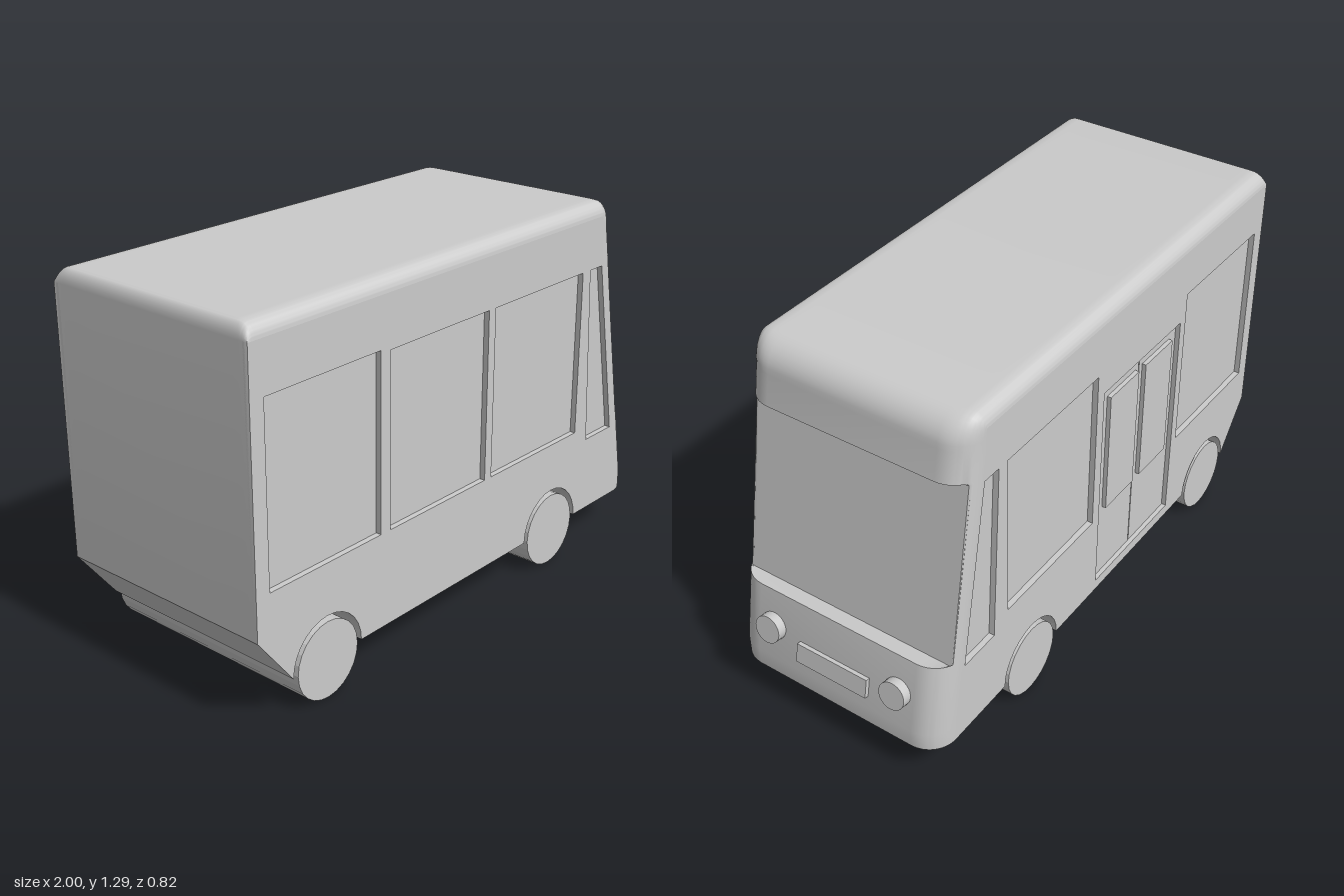
import * as THREE from 'three';
import { toCreasedNormals } from 'three/addons/utils/BufferGeometryUtils.js';

const HALF = 0.41;   // half width of the body
const RECESS = 0.02; // depth of windows and door
const FRONT_R = 0.1, ROOF_R = 0.05;
const WHEELS_X = [-0.705, 0.46];

const mat = new THREE.MeshStandardMaterial({ color: 0xcccccc });

// x of the sloping front face at height y
const frontX = (y) => 0.98 - 0.185 * Math.max(0, y - 0.2);

// how far a rounded edge of radius r pulls in at width z
function inset(z, r) {
  const d = Math.max(0, Math.abs(z) - (HALF - r));
  return r - Math.sqrt(Math.max(0, r * r - d * d));
}

// side profile of the body at width z, counter-clockwise
function profile(z) {
  const f = inset(z, FRONT_R), r = inset(z, ROOF_R);
  const pts = [[-1, 0.32]];
  for (const cx of WHEELS_X) {
    for (let i = 0; i <= 14; i++) {
      const a = Math.PI * (1 - i / 14);
      pts.push([cx + 0.152 * Math.cos(a), 0.135 + 0.152 * Math.sin(a)]);
    }
  }
  // bumper, recessed windscreen and brow
  const front = [[0.98, 0.135], [0.98, 0.2], [frontX(0.455), 0.455], [0.875, 0.445],
    [0.766, 1.075], [frontX(1.085), 1.085]];
  for (const [x, y] of front) pts.push([Math.min(x, frontX(y) - f), y]);
  // rounded roof, front then rear
  for (let i = 0; i <= 8; i++) {
    const a = (Math.PI / 2) * i / 8;
    pts.push([frontX(1.19) - 0.1 + (0.1 - f) * Math.cos(a), 1.19 + (0.1 - r) * Math.sin(a)]);
  }
  for (let i = 0; i <= 5; i++) {
    const a = (Math.PI / 2) * (1 + i / 5);
    pts.push([-0.97 + 0.03 * Math.cos(a), 1.24 + (0.05 - r) * Math.sin(a)]);
  }
  return pts;
}

// outer shell lofted across the width
function shellGeometry() {
  const half = [];
  for (let i = 0; i <= 8; i++) {
    const s = Math.sin((Math.PI / 2) * i / 8);
    half.push(HALF - FRONT_R + FRONT_R * s);
    if (i > 0 && i < 8) half.push(HALF - ROOF_R + ROOF_R * s);
  }
  half.push(0.4);
  half.sort((a, b) => a - b);
  const zs = [...half.map((z) => -z).reverse(), ...half];
  const pos = [];
  for (let k = 0; k < zs.length - 1; k++) {
    const p = profile(zs[k]), q = profile(zs[k + 1]);
    for (let j = 0; j < p.length; j++) {
      const n = (j + 1) % p.length;
      const a = [...p[j], zs[k]], b = [...p[n], zs[k]];
      const c = [...q[n], zs[k + 1]], d = [...q[j], zs[k + 1]];
      pos.push(...a, ...b, ...c, ...a, ...c, ...d);
    }
  }
  const geo = new THREE.BufferGeometry();
  geo.setAttribute('position', new THREE.Float32BufferAttribute(pos, 3));
  return toCreasedNormals(geo, 0.5);
}

const toVectors = (pts) => pts.map(([x, y]) => new THREE.Vector2(x, y));
const rect = (x0, x1, y0, y1) => [[x0, y0], [x1, y0], [x1, y1], [x0, y1]];

function add(parent, name, geo, x = 0, y = 0, z = 0) {
  const mesh = new THREE.Mesh(geo, mat);
  mesh.name = name;
  mesh.position.set(x, y, z);
  parent.add(mesh);
  return mesh;
}

// side wall with openings, each closed by a recessed pane
function addSide(parent, name, sign, openings) {
  const side = new THREE.Group();
  side.name = name;
  const wall = new THREE.Shape(toVectors(profile(HALF)));
  wall.holes = openings.map((o) => new THREE.Path(toVectors(o)));
  const wallGeo = new THREE.ExtrudeGeometry(wall, { depth: RECESS, bevelEnabled: false });
  add(side, 'sideWall', wallGeo, 0, 0, sign > 0 ? HALF - RECESS : -HALF);
  for (const o of openings) {
    const pane = new THREE.Shape(toVectors(o));
    const paneGeo = new THREE.ExtrudeGeometry(pane, { depth: 0.005, bevelEnabled: false });
    add(side, 'recessedPane', paneGeo, 0, 0, sign > 0 ? HALF - RECESS - 0.005 : RECESS - HALF);
  }
  parent.add(side);
}

export function createModel() {
  const bus = new THREE.Group();
  bus.name = 'minibus';

  add(bus, 'bodyShell', shellGeometry());

  // windows and door openings
  const cabWindow = [[0.67, 0.415], [0.825, 0.415], [0.71, 1.06], [0.64, 1.06]];
  const frontWindow = rect(0.1, 0.595, 0.465, 1.06);
  const middleWindow = rect(-0.415, 0.065, 0.465, 1.06);
  const rearWindow = rect(-0.945, -0.46, 0.465, 1.07);
  const doorway = rect(-0.425, 0.06, 0.175, 0.975);
  addSide(bus, 'windowSide', 1, [cabWindow, frontWindow, middleWindow, rearWindow]);
  addSide(bus, 'doorSide', -1, [cabWindow, frontWindow, doorway, rearWindow]);

  // double door: two leaves with raised panes
  for (const s of [-1, 1]) {
    const x = -0.1825 + s * 0.1213;
    add(bus, 'doorLeaf', new THREE.BoxGeometry(0.2385, 0.8, 0.006), x, 0.575, -0.391);
    add(bus, 'doorPane', new THREE.BoxGeometry(0.175, 0.46, 0.018), x - s * 0.012, 0.7, -0.4);
  }

  // full-width wheels
  for (const x of WHEELS_X) {
    const geo = new THREE.CylinderGeometry(0.133, 0.133, HALF * 2, 24).rotateX(Math.PI / 2);
    add(bus, 'wheelPair', toCreasedNormals(geo, 0.2), x, 0.133, 0);
  }

  // headlights and number plate, square to the sloping front
  const tilt = Math.atan(0.185);
  for (const z of [-0.25, 0.25]) {
    const geo = new THREE.CylinderGeometry(0.049, 0.049, 0.06, 28).rotateZ(-Math.PI / 2);
    add(bus, 'headlight', geo, 0.961, 0.324, z).rotation.z = tilt;
  }
  add(bus, 'frontPlate', new THREE.BoxGeometry(0.03, 0.07, 0.28), 0.966, 0.28, 0).rotation.z = tilt;

  return bus;
}
